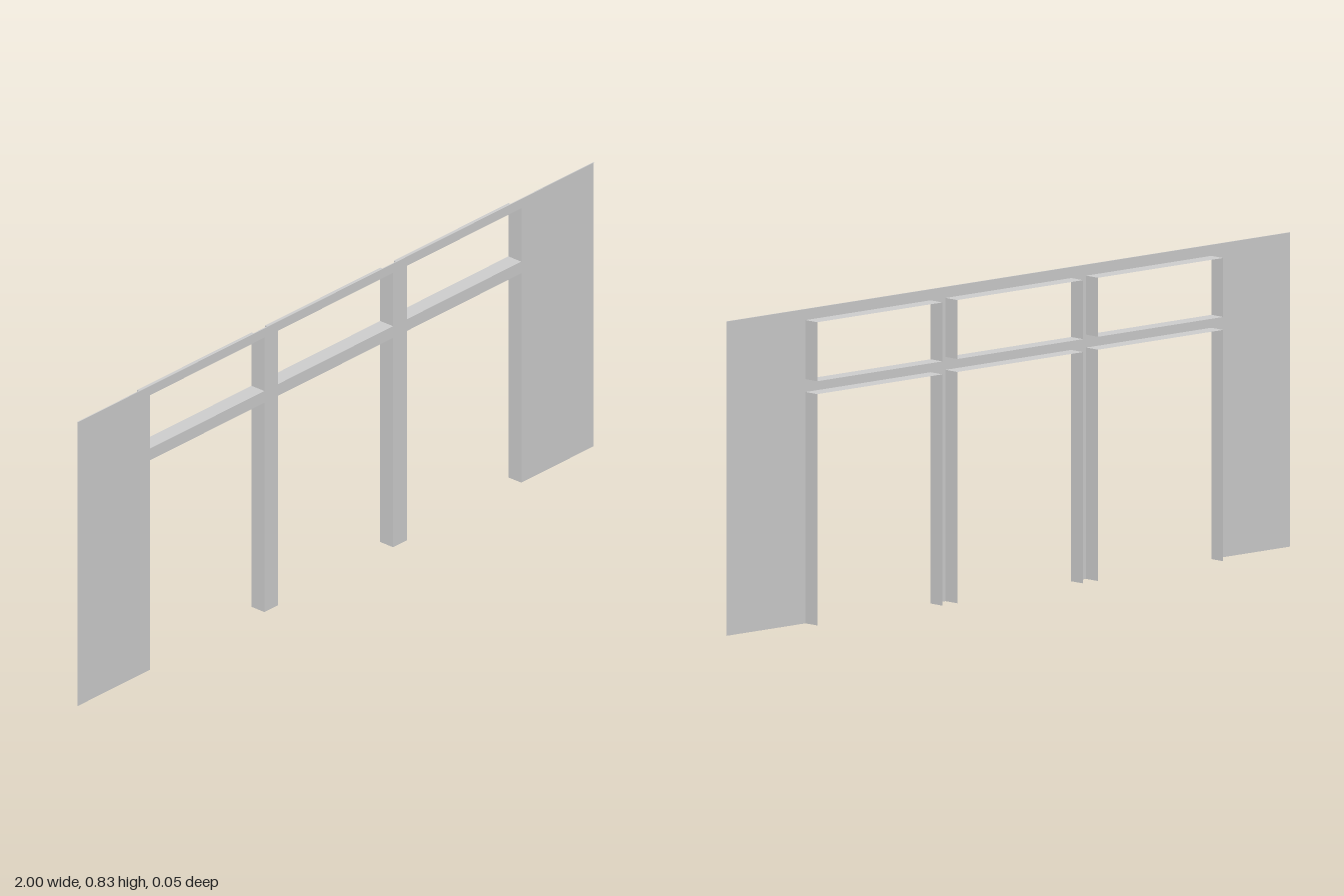
import * as THREE from 'three';

const TOP = 0.826, LOW_TOP = 0.608, UP_BOTTOM = 0.642, UP_TOP = 0.797;
const FRONT = 0.021, BACK = -0.024, LIP = 0.024;
// x ranges of the three bays
const BAYS = [[-0.72, -0.276], [-0.223, 0.223], [0.276, 0.72]];

const material = new THREE.MeshStandardMaterial({ color: 0xcccccc, side: THREE.DoubleSide, flatShading: true });

function addMesh(parent, name, geometry) {
  const mesh = new THREE.Mesh(geometry, material);
  mesh.name = name;
  parent.add(mesh);
  return mesh;
}

// Thin sheet running in depth from z0 to z1 between two points of the facade
function addReturn(parent, name, [x0, y0], [x1, y1], z0 = FRONT, z1 = BACK) {
  const length = Math.hypot(x1 - x0, y1 - y0);
  const geometry = new THREE.PlaneGeometry(length, Math.abs(z1 - z0));
  geometry.rotateX(-Math.PI / 2);
  geometry.rotateZ(Math.atan2(y1 - y0, x1 - x0));
  geometry.translate((x0 + x1) / 2, (y0 + y1) / 2, (z0 + z1) / 2);
  addMesh(parent, name, geometry);
}

export function createModel() {
  const model = new THREE.Group();
  model.name = 'facadeFrame';

  // Front sheet: doorways notch the outline, upper windows are holes
  const outline = [[-1, 0]];
  for (const [a, b] of BAYS) outline.push([a, 0], [a, LOW_TOP], [b, LOW_TOP], [b, 0]);
  outline.push([1, 0], [1, TOP], [-1, TOP]);
  const toPoints = list => list.map(([x, y]) => new THREE.Vector2(x, y));
  const shape = new THREE.Shape(toPoints(outline));
  for (const [a, b] of BAYS) {
    shape.holes.push(new THREE.Path(toPoints([[a, UP_BOTTOM], [a, UP_TOP], [b, UP_TOP], [b, UP_BOTTOM]])));
  }
  addMesh(model, 'frontSheet', new THREE.ShapeGeometry(shape).translate(0, 0, FRONT));

  // Narrow lip along the top edge
  addReturn(model, 'topLip', [-1, TOP], [1, TOP], FRONT, LIP);

  // Returns lining each doorway and window
  for (const [a, b] of BAYS) {
    const doorway = new THREE.Group();
    doorway.name = 'doorwayLining';
    addReturn(doorway, 'rightJamb', [a, 0], [a, LOW_TOP]);
    addReturn(doorway, 'head', [a, LOW_TOP], [b, LOW_TOP]);
    addReturn(doorway, 'leftJamb', [b, LOW_TOP], [b, 0]);

    const windowLining = new THREE.Group();
    windowLining.name = 'windowLining';
    addReturn(windowLining, 'sill', [a, UP_BOTTOM], [b, UP_BOTTOM]);
    addReturn(windowLining, 'leftJamb', [b, UP_BOTTOM], [b, UP_TOP]);
    addReturn(windowLining, 'head', [b, UP_TOP], [a, UP_TOP]);
    addReturn(windowLining, 'rightJamb', [a, UP_TOP], [a, UP_BOTTOM]);
    model.add(doorway, windowLining);
  }
  return model;
}
